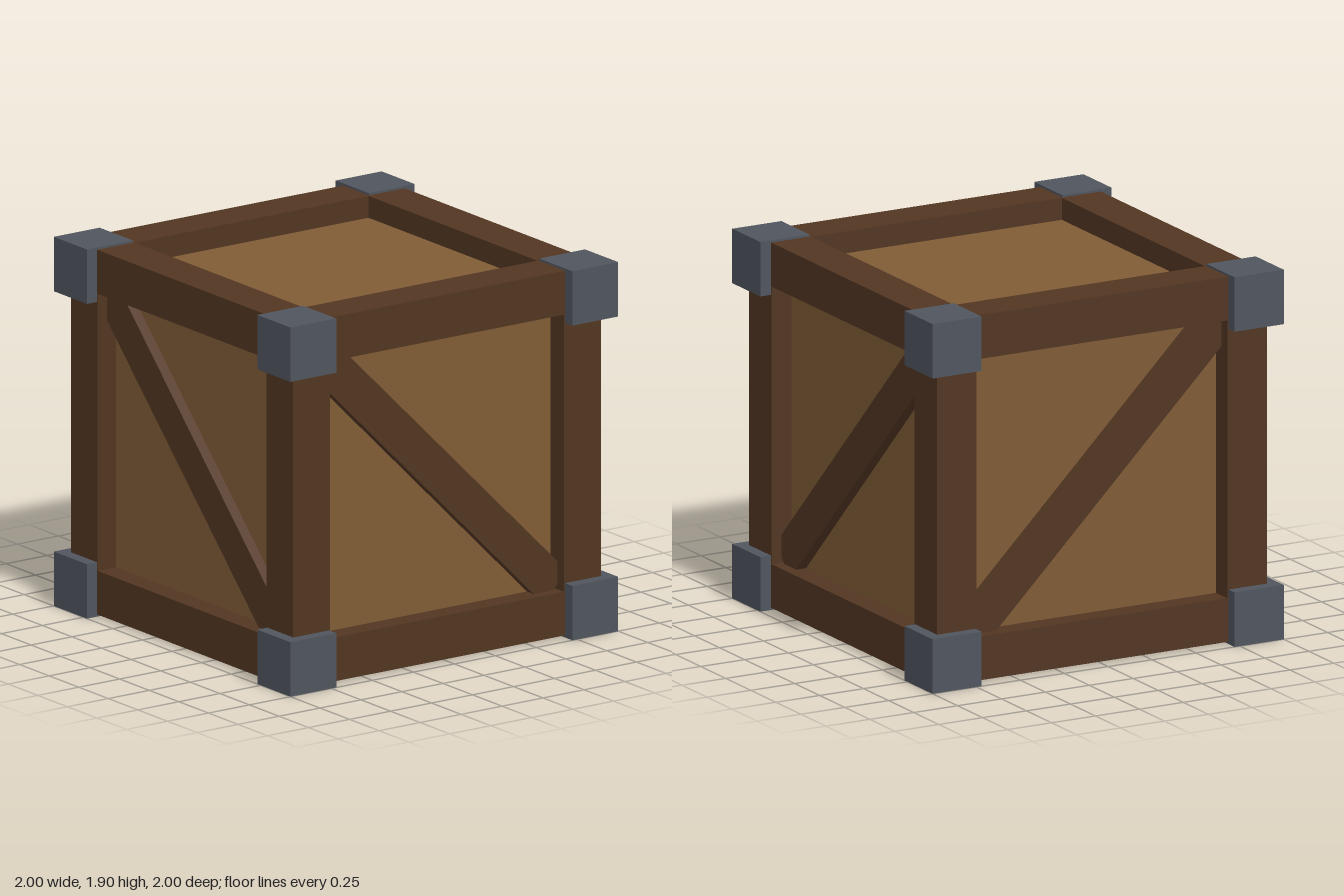
import * as THREE from 'three';

const MID = 0.95;     // height of the crate's centre
const BEAM = 0.225;   // beam thickness
const OFF = 0.826;    // beam centreline offset from the crate's centre
const BLOCK = 0.28;   // corner block size

const material = (color) => new THREE.MeshStandardMaterial({ color, flatShading: true });

export function createModel() {
  const crate = new THREE.Group();
  crate.name = 'crate';
  const panelWood = material(0x805c36);
  const beamWood = material(0x523622);
  const metal = material(0x50555e);

  const box = (name, size, pos, mat) => {
    const mesh = new THREE.Mesh(new THREE.BoxGeometry(...size), mat);
    mesh.name = name;
    mesh.position.set(...pos);
    crate.add(mesh);
    return mesh;
  };

  // Inner box forming the six recessed panels
  box('panels', [OFF * 2, OFF * 2, OFF * 2], [0, MID, 0], panelWood);

  // Twelve edge beams, ending inside the corner blocks
  const length = OFF * 2;
  for (const a of [-1, 1]) {
    for (const b of [-1, 1]) {
      box('railAcross', [length, BEAM, BEAM], [0, MID + a * OFF, b * OFF], beamWood);
      box('post', [BEAM, length, BEAM], [a * OFF, MID, b * OFF], beamWood);
      box('railDeep', [BEAM, BEAM, length], [a * OFF, MID + b * OFF, 0], beamWood);
    }
  }

  // One diagonal brace on each of the four sides
  for (const s of [-1, 1]) {
    const faceBrace = box('braceFace', [1.98, 0.205, BEAM / 2], [0, MID, s * OFF], beamWood);
    faceBrace.rotation.z = -Math.PI / 4;
    const sideBrace = box('braceSide', [BEAM / 2, 0.205, 1.98], [s * OFF, MID, 0], beamWood);
    sideBrace.rotation.x = Math.PI / 4;
  }

  // Metal blocks on the eight corners
  for (const x of [-1, 1]) {
    for (const y of [-1, 1]) {
      for (const z of [-1, 1]) {
        box('cornerBlock', [BLOCK, BLOCK, BLOCK], [x * 0.86, MID + y * 0.81, z * 0.86], metal);
      }
    }
  }
  return crate;
}
